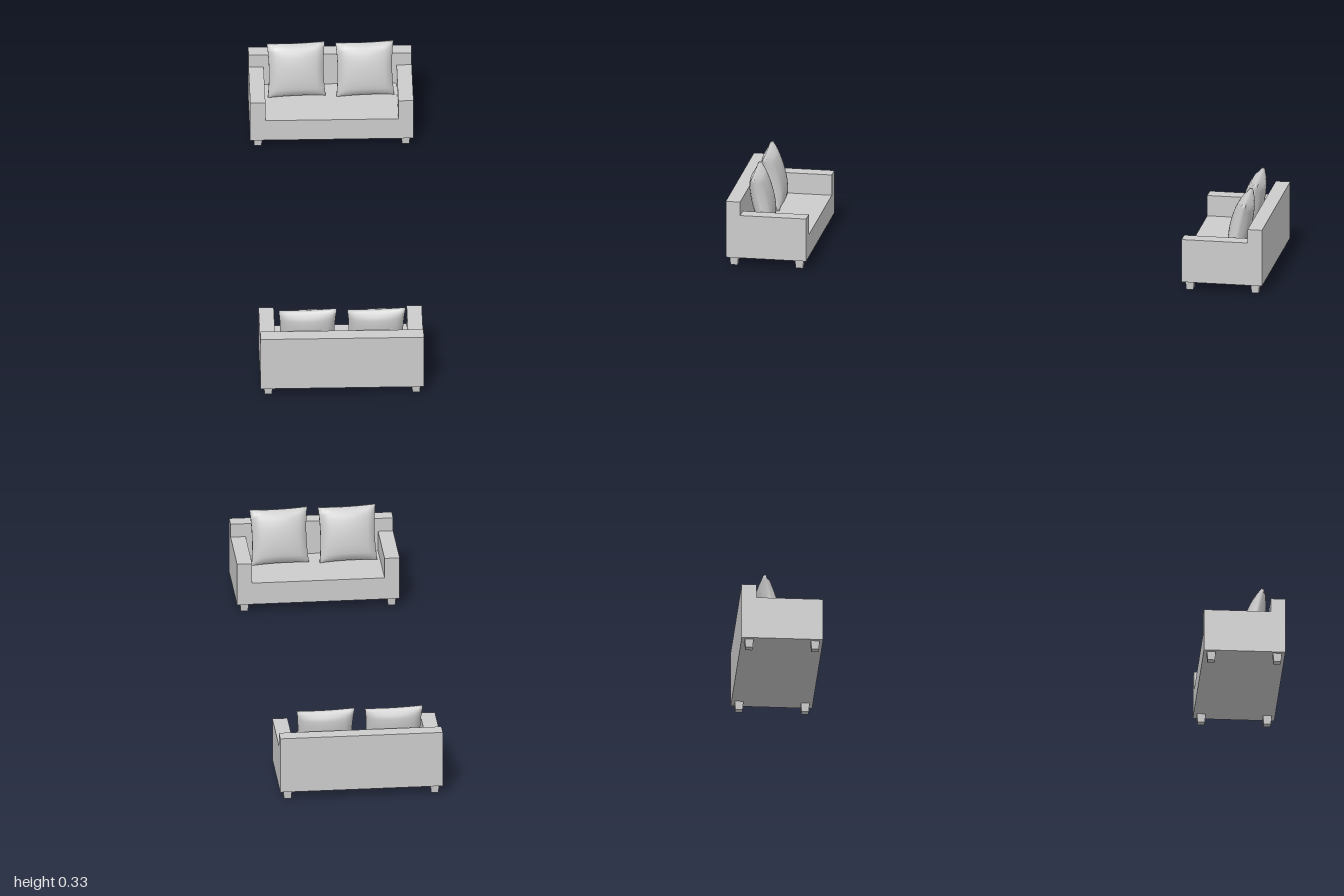
import * as THREE from 'three';
import { mergeVertices } from 'three/addons/utils/BufferGeometryUtils.js';

const W = 0.614, D = 0.307;              // sofa footprint
const LEG = 0.033, SEAT = 0.12, ARM = 0.2, BACK = 0.253;
const ARM_W = 0.057, BACK_D = 0.055;

const fabric = new THREE.MeshStandardMaterial({ color: 0xcccccc });
fabric.name = 'light grey';

function add(parent, name, geometry, x, y, z) {
  const mesh = new THREE.Mesh(geometry, fabric);
  mesh.name = name;
  mesh.position.set(x, y, z);
  parent.add(mesh);
  return mesh;
}

// Box given by its size, bottom height and centre
function block(parent, name, w, y0, y1, d, x, z) {
  return add(parent, name, new THREE.BoxGeometry(w, y1 - y0, d), x, (y0 + y1) / 2, z);
}

// Plump square pillow with pinched sides and thin edges
function pillowGeometry(w, h, t) {
  const box = new THREE.BoxGeometry(2, 2, 2, 14, 14, 2);
  box.deleteAttribute('uv');
  box.deleteAttribute('normal');
  const g = mergeVertices(box);
  const p = g.attributes.position;
  for (let i = 0; i < p.count; i++) {
    const u = p.getX(i), v = p.getY(i), s = p.getZ(i);
    const puff = Math.pow(Math.max(0, (1 - u * u) * (1 - v * v)), 0.45);
    p.setXYZ(i,
      u * w / 2 * (1 - 0.06 * (1 - v * v)),
      v * h / 2 * (1 - 0.04 * (1 - u * u)),
      s * (0.006 + (t / 2 - 0.006) * puff));
  }
  g.computeVertexNormals();
  return g;
}

function makeSofa() {
  const sofa = new THREE.Group();
  sofa.name = 'sofa';

  // Body
  block(sofa, 'seatBase', W, LEG, SEAT, D, 0, 0);
  block(sofa, 'backrest', W, SEAT, BACK, BACK_D, 0, -D / 2 + BACK_D / 2);

  // Square tapered legs
  const leg = new THREE.CylinderGeometry(0.0235, 0.019, LEG, 4, 1).toNonIndexed();
  leg.rotateY(Math.PI / 4);
  leg.computeVertexNormals();

  const pillow = pillowGeometry(0.218, 0.212, 0.08);
  for (const side of [-1, 1]) {
    block(sofa, 'armrest', ARM_W, SEAT, ARM, D - BACK_D, side * (W - ARM_W) / 2, BACK_D / 2);
    for (const end of [-1, 1]) {
      add(sofa, 'leg', leg, side * (W / 2 - 0.029), LEG / 2, end * (D / 2 - 0.029));
    }
    // Pillows lean back
    const cushion = add(sofa, 'pillow', pillow, side * 0.129, 0.222, -0.043);
    cushion.rotation.set(-0.24, 0.05, 0, 'YXZ');
  }
  return sofa;
}

export function createModel() {
  const model = new THREE.Group();
  model.name = 'facingSofas';
  // Two sofas facing each other across the centre
  for (const s of [-1, 1]) {
    const sofa = makeSofa();
    sofa.position.set(s * 0.6925, 0, s * 0.5275);
    sofa.rotation.y = 0.924 + (s > 0 ? Math.PI : 0);
    model.add(sofa);
  }
  return model;
}
